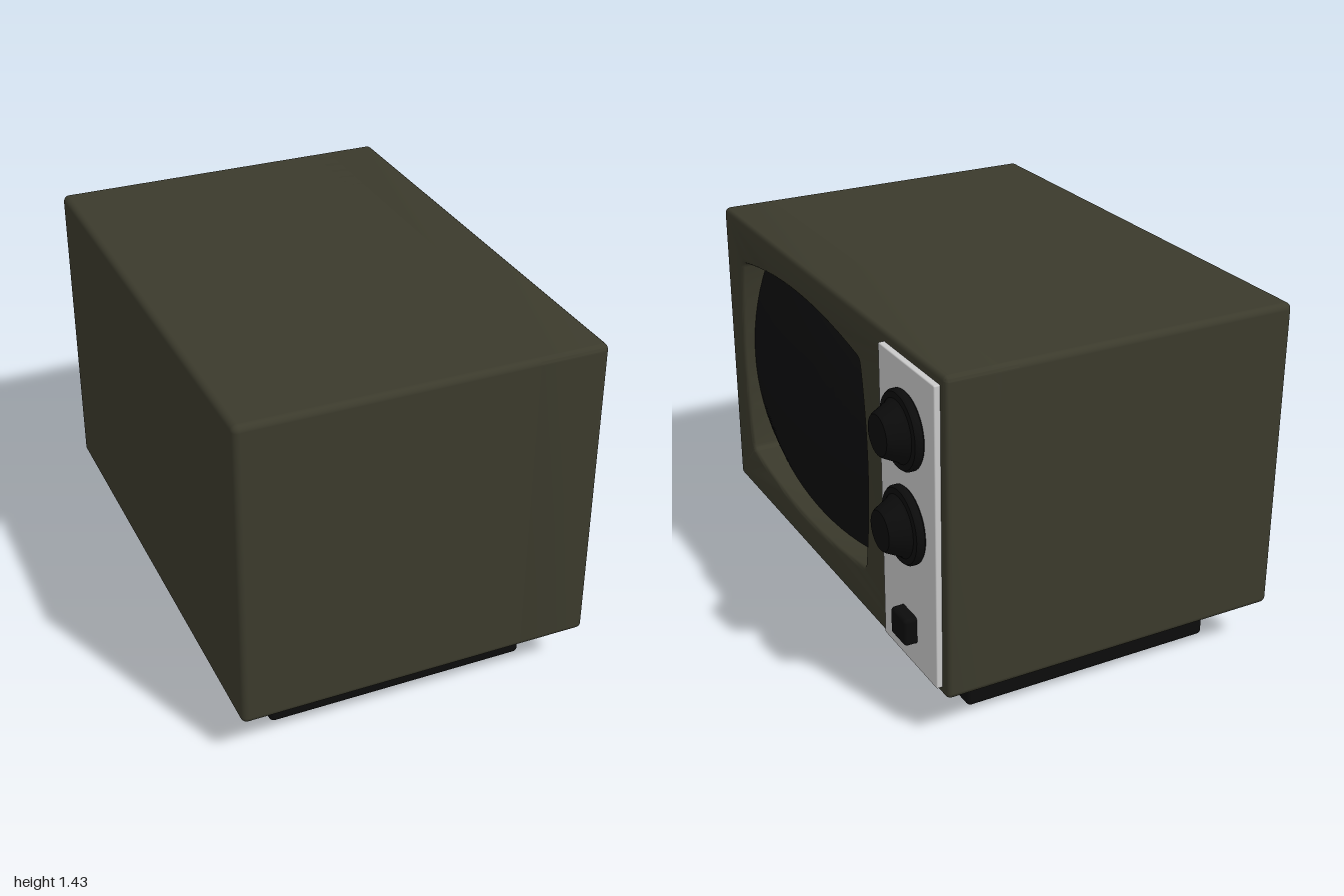
import * as THREE from 'three';
import { toCreasedNormals } from 'three/addons/utils/BufferGeometryUtils.js';
import { RoundedBoxGeometry } from 'three/addons/geometries/RoundedBoxGeometry.js';

const material = (name, color) => {
  const m = new THREE.MeshStandardMaterial({ color });
  m.name = name;
  return m;
};

// Rounded box given by its limits on each axis
function box(name, mat, [x0, x1], [y0, y1], [z0, z1], radius) {
  const geo = new RoundedBoxGeometry(x1 - x0, y1 - y0, z1 - z0, 4, radius);
  geo.translate((x0 + x1) / 2, (y0 + y1) / 2, (z0 + z1) / 2);
  const mesh = new THREE.Mesh(geo, mat);
  mesh.name = name;
  return mesh;
}

// Bulging four-sided outline of the picture tube
function tubeOutline(path, cx, cy, grow = 0) {
  const w = 0.575 + grow, h = 0.43 + grow;
  const a = w - 0.025, b = h - 0.03;
  const bulgeX = 2 * (0.612 + grow) - w, bulgeY = 2 * (0.487 + grow) - h;
  const curve = (px, py, x, y) => path.quadraticCurveTo(cx + px, cy + py, cx + x, cy + y);
  path.moveTo(cx - a, cy - h);
  curve(0, -bulgeY, a, -h);
  curve(w - 0.005, -h, w, -b);
  curve(bulgeX, 0, w, b);
  curve(w - 0.005, h, a, h);
  curve(0, bulgeY, -a, h);
  curve(-w + 0.005, h, -w, b);
  curve(-bulgeX, 0, -w, -b);
  curve(-w + 0.005, -h, -a, -h);
  return path;
}

// Front section of the cabinet with the soft-edged screen opening
function cabinetFace(mat) {
  const [y0, y1, z, r] = [0.19, 1.43, 1, 0.025];
  const s = new THREE.Shape();
  s.moveTo(-z + r, y0);
  s.lineTo(z - r, y0).absarc(z - r, y0 + r, r, -Math.PI / 2, 0);
  s.lineTo(z, y1 - r).absarc(z - r, y1 - r, r, 0, Math.PI / 2);
  s.lineTo(-z + r, y1).absarc(-z + r, y1 - r, r, Math.PI / 2, Math.PI);
  s.lineTo(-z, y0 + r).absarc(-z + r, y0 + r, r, Math.PI, Math.PI * 1.5);
  s.holes.push(tubeOutline(new THREE.Path(), -0.25, 0.81));
  const bevel = 0.02;
  const geo = new THREE.ExtrudeGeometry(s, {
    depth: 0.29 - 2 * bevel, bevelSize: bevel, bevelThickness: bevel,
    bevelOffset: -bevel, bevelSegments: 4, curveSegments: 14,
  });
  geo.translate(0, 0, 0.34 + bevel).rotateY(Math.PI / 2);
  const mesh = new THREE.Mesh(toCreasedNormals(geo, 0.6), mat);
  mesh.name = 'cabinetFace';
  return mesh;
}

// Domed glass, made of rings scaled from the outline
function screen(mat) {
  const outline = tubeOutline(new THREE.Shape(), 0, 0, 0.006).getPoints(14);
  if (outline[0].distanceTo(outline[outline.length - 1]) < 1e-6) outline.pop();
  const n = outline.length, rings = 12, pos = [0, 0, 0.65], index = [];
  for (let k = 1; k <= rings; k++) {
    for (let i = 0; i < n; i++) {
      const u = outline[i].x * k / rings, v = outline[i].y * k / rings;
      pos.push(u, v, 0.65 - 0.18 * u * u - 0.42 * v * v);
      const j = (i + 1) % n, o = 1 + (k - 1) * n, q = o - n;
      if (k === 1) index.push(0, o + i, o + j);
      else index.push(q + i, o + i, o + j, q + i, o + j, q + j);
    }
  }
  const geo = new THREE.BufferGeometry();
  geo.setAttribute('position', new THREE.Float32BufferAttribute(pos, 3));
  geo.setIndex(index);
  geo.computeVertexNormals();
  geo.translate(-0.25, 0.81, 0).rotateY(Math.PI / 2);
  const mesh = new THREE.Mesh(geo, mat);
  mesh.name = 'screen';
  return mesh;
}

// Flanged dial with a tapered grip
function dial(name, mat, y) {
  const profile = [[0, 0], [0.138, 0], [0.145, 0.007], [0.145, 0.026], [0.138, 0.035],
    [0.116, 0.037], [0.108, 0.046], [0.081, 0.1], [0.074, 0.108], [0, 0.108]]
    .map(([r, h]) => new THREE.Vector2(r, h));
  const geo = toCreasedNormals(new THREE.LatheGeometry(profile, 40), 0.7);
  geo.rotateZ(-Math.PI / 2).translate(0.652, y, -0.75);
  const mesh = new THREE.Mesh(geo, mat);
  mesh.name = name;
  return mesh;
}

export function createModel() {
  const olive = material('olive cabinet', 0x3b3a2c);
  const black = material('black plastic', 0x0c0c0c);
  const glass = material('dark glass', 0x0d0d0e);
  const silver = material('silver panel', 0xcacaca);

  const model = new THREE.Group();
  model.name = 'television';
  model.add(
    box('cabinet', olive, [-0.76, 0.45], [0.19, 1.43], [-1, 1], 0.025),
    cabinetFace(olive),
    screen(glass),
    box('base', black, [-0.59, 0.46], [0, 0.21], [-0.83, 0.83], 0.02),
    box('controlPanel', silver, [0.615, 0.653], [0.225, 1.39], [-0.96, -0.54], 0.005),
    dial('upperDial', black, 1.15),
    dial('lowerDial', black, 0.785),
    box('powerButton', black, [0.64, 0.702], [0.325, 0.435], [-0.81, -0.692], 0.015),
  );
  return model;
}
